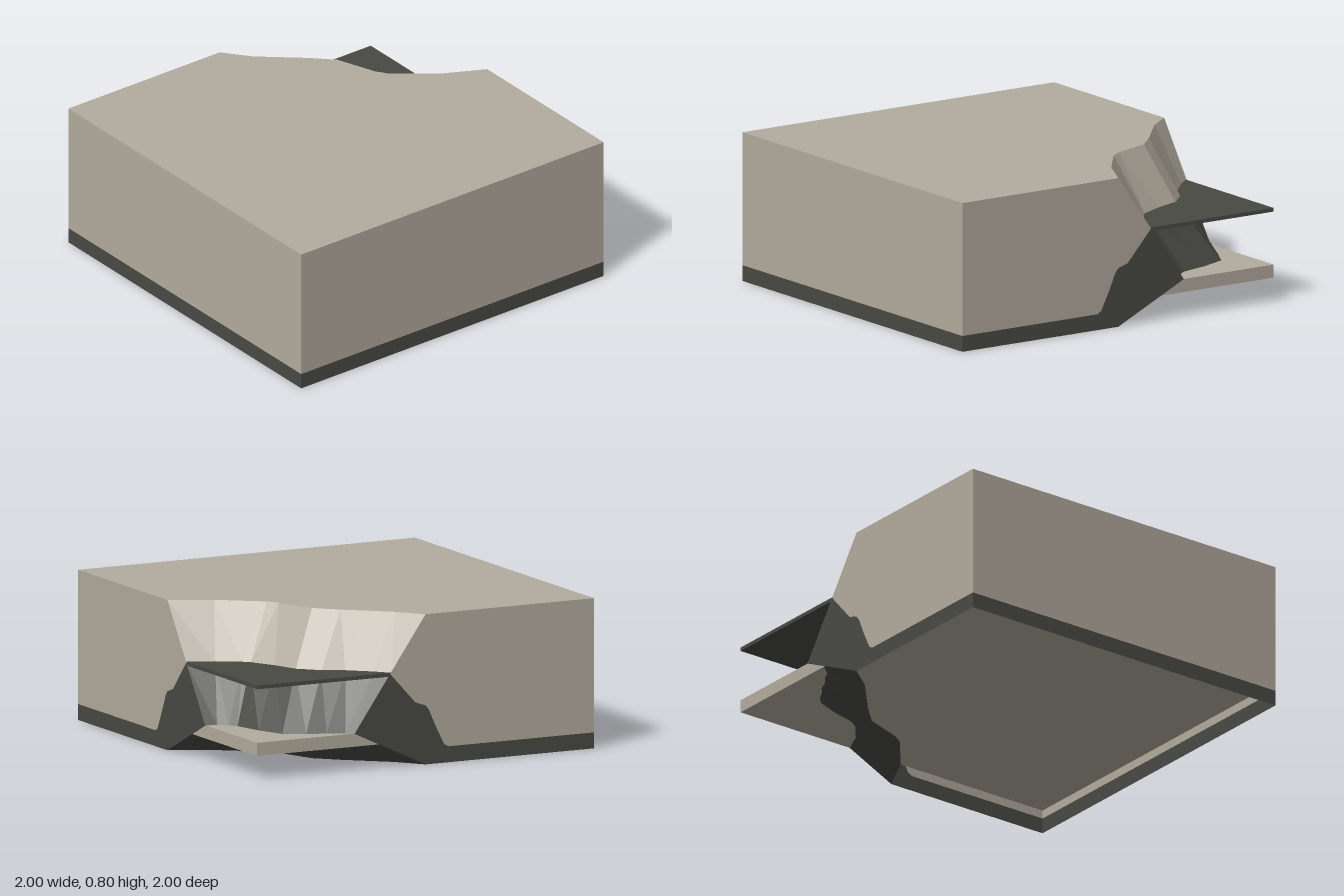
import * as THREE from 'three';

const stone = new THREE.MeshStandardMaterial({ color: 0xb3ab9e, side: THREE.DoubleSide });
stone.name = 'pale stone';
const rock = new THREE.MeshStandardMaterial({ color: 0x494944, side: THREE.DoubleSide });
rock.name = 'dark rock';

// Contours of the hollowed corner as [x, z], from the back edge to the left edge
const RIM = [[0, -1], [0.11, -0.86], [0.22, -0.765], [0.33, -0.67], [0.44, -0.56],
  [0.48, -0.45], [0.52, -0.34], [0.56, -0.28], [0.78, -0.11], [1, 0]];
const LEDGE = [[0.2, -1], [0.27, -0.92], [0.38, -0.82], [0.49, -0.76], [0.59, -0.66],
  [0.64, -0.52], [0.71, -0.38], [0.74, -0.35], [0.86, -0.27], [1, -0.21]];
const NOSE = [[0.42, -1], [0.46, -0.97], [0.55, -0.93], [0.65, -0.89], [0.76, -0.83],
  [0.82, -0.68], [0.86, -0.52], [0.89, -0.48], [0.94, -0.44], [1, -0.42]];

const TOP = 0.8, BAND = 0.085;

// Side wall outlines as [distance along the wall, height]
const BORDER = [[0.135, BAND], [0.11, 0.1], [0.06, 0.2], [0.02, 0.29], [0, 0.315],
  [-0.06, 0.335], [-0.11, 0.39], [-0.21, 0.5]];
const CUT_STONE = [[1, BAND], ...BORDER, [0, TOP], [1, TOP]];
const CUT_ROCK = [[1, 0], [0, 0], [-0.42, 0.2], ...[...BORDER].reverse(), [1, BAND]];
const rect = (y0, y1) => [[-1, y0], [1, y0], [1, y1], [-1, y1]];

export function createModel() {
  const model = new THREE.Group();

  const add = (name, geometry, material) => {
    const mesh = new THREE.Mesh(geometry, material);
    mesh.name = name;
    model.add(mesh);
    return mesh;
  };

  const flat = (points) =>
    new THREE.ShapeGeometry(new THREE.Shape(points.map(([u, v]) => new THREE.Vector2(u, v))));

  const wall = (name, points, angle, material) =>
    add(name, flat(points).translate(0, 0, 1).rotateY(angle), material);

  // Faceted surface between an upper and a lower contour
  const slope = (name, upper, yU, lower, yL, material) => {
    const verts = [];
    const put = ([x, z], y) => verts.push(x, y, z);
    for (let i = 0; i < upper.length - 1; i++) {
      put(upper[i + 1], yU); put(lower[i + 1], yL); put(lower[i], yL);
      put(upper[i + 1], yU); put(lower[i], yL); put(upper[i], yU);
    }
    const g = new THREE.BufferGeometry();
    g.setAttribute('position', new THREE.Float32BufferAttribute(verts, 3));
    g.computeVertexNormals();
    add(name, g, material);
  };

  // Horizontal slab, inset a hair so the walls cover its edges
  const slab = (name, y0, y1, material) =>
    add(name, new THREE.BoxGeometry(1.996, y1 - y0, 1.996).translate(0, (y0 + y1) / 2, 0), material);

  // Full walls: front and right
  for (const [side, angle] of [['front', 0], ['right', -Math.PI / 2]]) {
    wall(side + 'Wall', rect(BAND, TOP), angle, stone);
    wall(side + 'BaseBand', rect(0, BAND), angle, rock);
  }

  // Cut walls: left and back mirror each other
  const mirrored = (points) => points.map(([s, y]) => [-s, y]);
  wall('leftWall', mirrored(CUT_STONE), Math.PI / 2, stone);
  wall('leftRockFace', mirrored(CUT_ROCK), Math.PI / 2, rock);
  wall('backWall', CUT_STONE, Math.PI, stone);
  wall('backRockFace', CUT_ROCK, Math.PI, rock);

  // Top surface, bounded by the rim of the hollow
  const topOutline = [...RIM, [1, 1], [-1, 1], [-1, -1]].map(([x, z]) => [x, -z]);
  add('topSurface', flat(topOutline).rotateX(-Math.PI / 2).translate(0, TOP, 0), stone);

  // Cliff above the ledge, overhang below it, and the undercut to the ground
  slope('upperCliff', RIM, TOP, LEDGE, 0.5, stone);
  slope('overhang', LEDGE, 0.5, NOSE, 0.2, rock);
  slope('undercut', NOSE, 0.2, RIM, 0, rock);

  // Plates that project into the open corner
  slab('ledgePlate', 0.485, 0.505, rock);
  slab('floorSlab', 0.13, 0.2, stone);

  return model;
}
